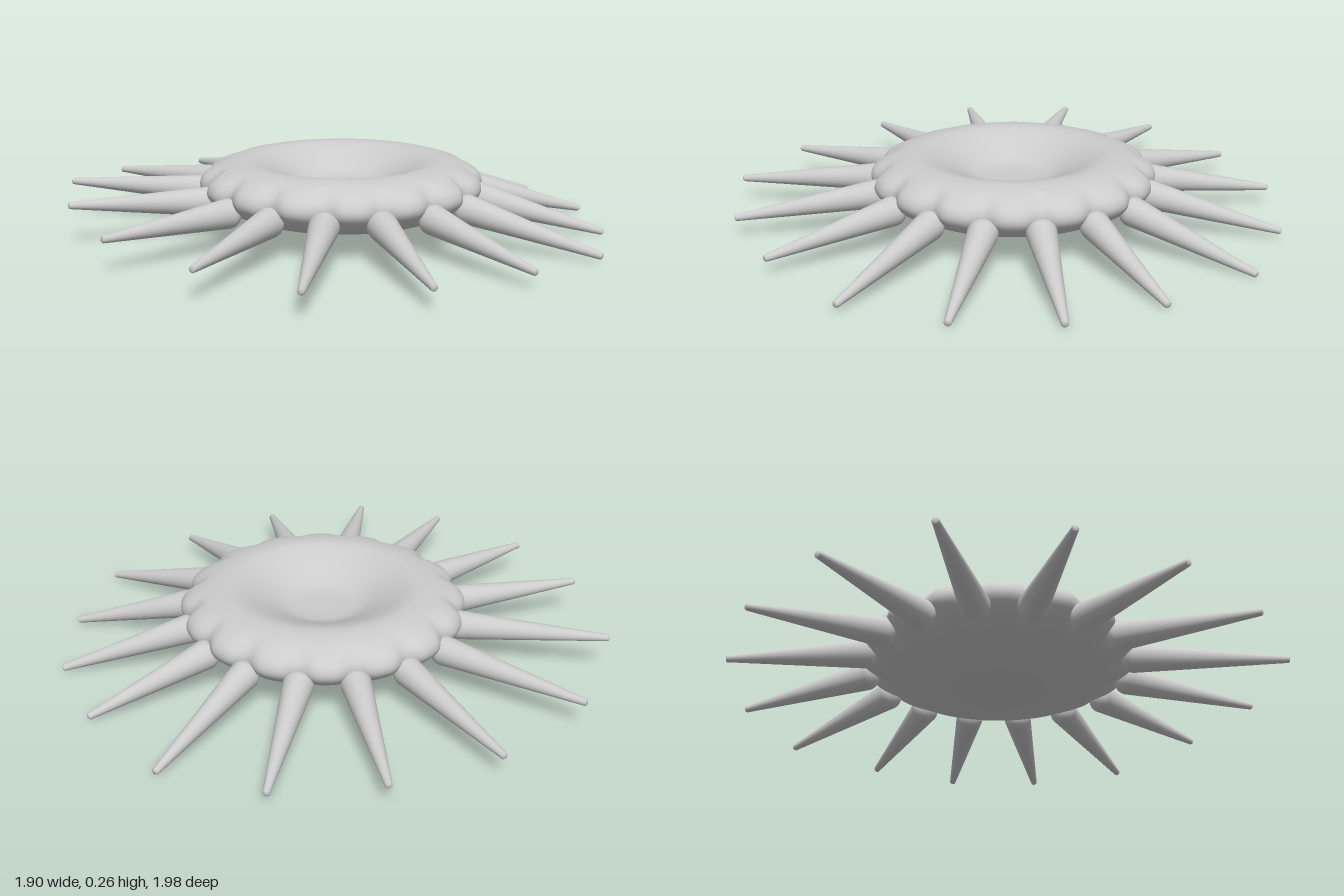
import * as THREE from 'three';

const CENTRE_X = 0.02;
const SPINES = 16;
// spine tips, clockwise seen from above, starting at the left-front side
const TIPS = [
  [0.95, 0.013, 0.21], [0.81, 0.013, 0.535], [0.58, 0.026, 0.82], [0.21, 0.06, 0.96],
  [-0.175, 0.073, 0.985], [-0.56, 0.088, 0.88], [-0.79, 0.11, 0.60], [-0.95, 0.125, 0.21],
  [-0.95, 0.148, -0.19], [-0.825, 0.14, -0.595], [-0.545, 0.105, -0.87], [-0.16, 0.08, -0.99],
  [0.23, 0.065, -0.96], [0.57, 0.03, -0.80], [0.84, 0.013, -0.53], [0.95, 0.016, -0.14],
];

// round cushion with a dished top and dents in the rim where the spines sit
function makeBody(material) {
  const profile = new THREE.SplineCurve([
    [0, 0.035], [0.2, 0.042], [0.35, 0.066], [0.45, 0.105], [0.5, 0.14], [0.518, 0.175],
    [0.5, 0.213], [0.44, 0.245], [0.36, 0.26], [0.3, 0.25], [0.22, 0.215],
    [0.14, 0.176], [0.07, 0.166], [0, 0.165],
  ].map(([r, y]) => new THREE.Vector2(r, y))).getPoints(56);
  profile.forEach((p) => { p.x = Math.max(p.x, 0); });
  const geometry = new THREE.LatheGeometry(profile, 192);
  const pos = geometry.attributes.position;
  for (let i = 0; i < pos.count; i++) {
    const x = pos.getX(i), z = pos.getZ(i);
    const rim = THREE.MathUtils.smoothstep(Math.hypot(x, z), 0.4, 0.5);
    const dent = Math.sin(Math.atan2(z, x) * SPINES / 2) ** 4;
    const s = 1 - 0.055 * rim * dent;
    pos.setX(i, x * s);
    pos.setZ(i, z * s);
  }
  geometry.computeVertexNormals();
  const body = new THREE.Mesh(geometry, material);
  body.name = 'body';
  body.position.x = CENTRE_X;
  return body;
}

// tapered spine with a rounded root
function makeSpine(base, tip, material) {
  const length = base.distanceTo(tip);
  const points = [];
  for (let i = 0; i <= 8; i++) {
    const a = (i / 8) * Math.PI / 2;
    points.push(new THREE.Vector2(0.053 * Math.sin(a), -0.045 * Math.cos(a)));
  }
  points.push(new THREE.Vector2(0.012, length - 0.004));
  points.push(new THREE.Vector2(0.008, length));
  points.push(new THREE.Vector2(0, length));
  const spine = new THREE.Mesh(new THREE.LatheGeometry(points, 24), material);
  spine.position.copy(base);
  spine.quaternion.setFromUnitVectors(
    new THREE.Vector3(0, 1, 0), tip.clone().sub(base).normalize());
  return spine;
}

export function createModel() {
  const material = new THREE.MeshStandardMaterial({ color: 0xcccccc });
  const model = new THREE.Group();
  model.name = 'spikedDisc';
  model.add(makeBody(material));

  // ring of spines
  const spines = new THREE.Group();
  spines.name = 'spines';
  TIPS.forEach((t, i) => {
    const a = (i + 0.5) / SPINES * Math.PI * 2;
    const base = new THREE.Vector3(
      CENTRE_X + 0.5 * Math.cos(a), 0.13, 0.5 * Math.sin(a));
    const spine = makeSpine(base, new THREE.Vector3(...t), material);
    spine.name = `spine${i + 1}`;
    spines.add(spine);
  });
  model.add(spines);
  return model;
}
